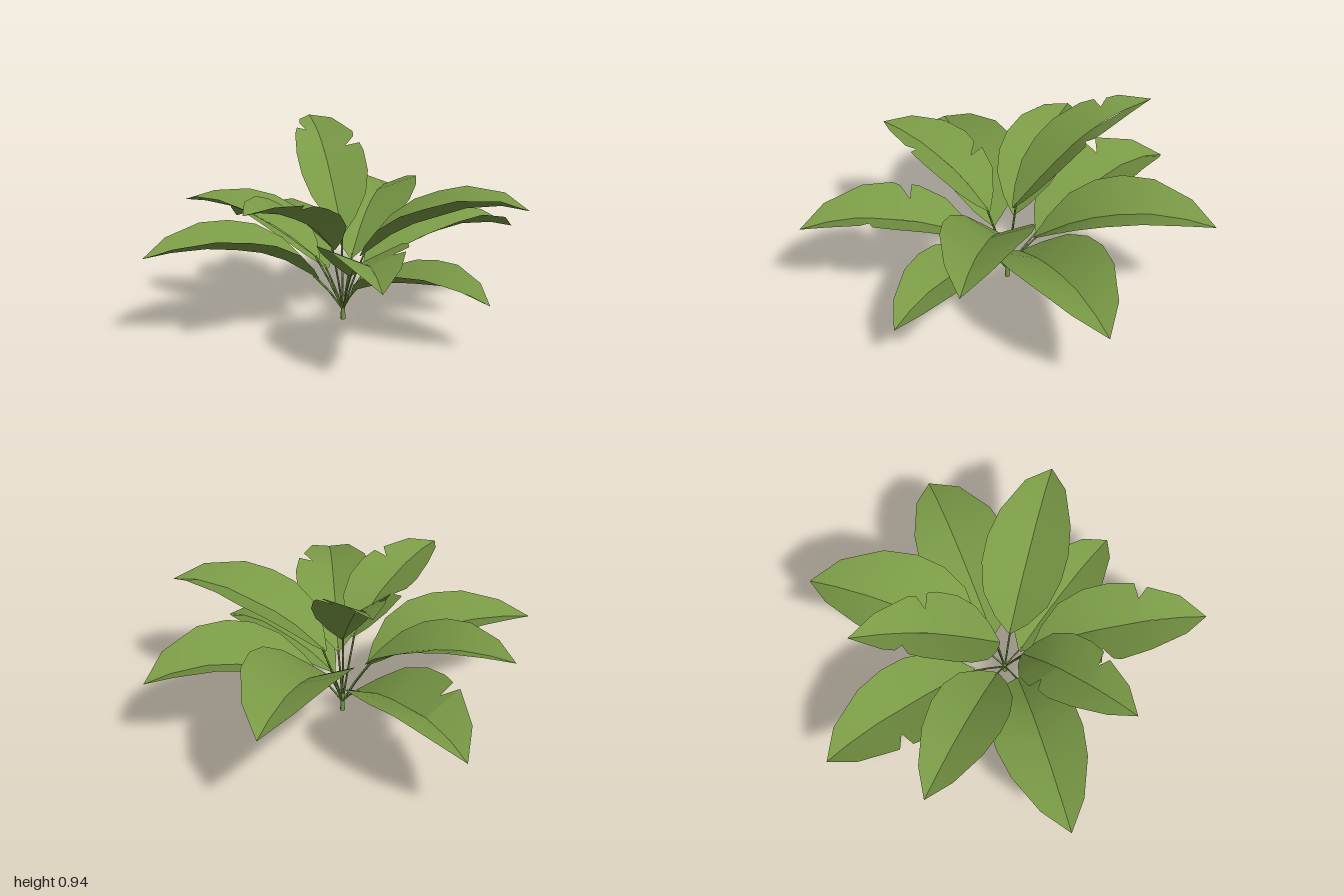
import * as THREE from 'three';

const green = new THREE.MeshStandardMaterial({ color: 0x7a9a46, side: THREE.DoubleSide });
green.name = 'leafGreen';

const CROWN = new THREE.Vector3(0.005, 0.05, -0.015);
const LIFT = 0.42; // how far the blade edges rise above the midrib

// Half-blade outline: [fraction along the midrib, fraction of the half width]
const OUTLINE = [[0, 0.04], [0.09, 0.42], [0.22, 0.8], [0.36, 0.98], [0.5, 1], [0.66, 0.87], [0.85, 0.5], [1, 0]];

// base and tip are [x, z]; y holds midrib heights from base to tip;
// w holds the two half widths; n holds the positions of tears on each side
const LEAVES = [
  { base: [0.12, -0.05], tip: [0.98, -0.18], y: [0.24, 0.34, 0.40, 0.425, 0.38], w: [0.22, 0.25] },
  { base: [-0.13, 0.02], tip: [-0.98, 0.06], y: [0.23, 0.36, 0.41, 0.425, 0.40], w: [0.20, 0.23] },
  { base: [0.08, -0.13], tip: [0.53, -0.88], y: [0.28, 0.42, 0.50, 0.53, 0.50], w: [0.21, 0.25] },
  { base: [-0.03, -0.18], tip: [-0.35, -0.99], y: [0.22, 0.32, 0.37, 0.40, 0.34], w: [0.22, 0.20], n: [0.6] },
  { base: [-0.1, -0.08], tip: [-0.69, -0.57], y: [0.30, 0.42, 0.50, 0.54, 0.54], w: [0.18, 0.18] },
  { base: [-0.06, 0.06], tip: [-0.58, 0.47], y: [0.38, 0.52, 0.60, 0.655, 0.67], w: [0.17, 0.18], n: [0.62, 0.36] },
  { base: [0, 0.13], tip: [-0.11, 0.99], y: [0.26, 0.38, 0.44, 0.47, 0.43], w: [0.20, 0.20], n: [0.64, 0.41] },
  { base: [0.08, 0.03], tip: [0.79, 0.43], y: [0.33, 0.48, 0.56, 0.62, 0.60], w: [0.21, 0.20] },
  { base: [0.03, 0.07], tip: [0.5, 0.67], y: [0.17, 0.24, 0.27, 0.28, 0.23], w: [0.18, 0.17] },
  { base: [0.01, -0.04], tip: [0.015, -0.73], y: [0.43, 0.62, 0.78, 0.88, 0.935], w: [0.17, 0.18], n: [0.74, 0.57] },
];

function widthAt(t) {
  const i = Math.max(1, OUTLINE.findIndex(([u]) => u >= t));
  const [a, wa] = OUTLINE[i - 1], [b, wb] = OUTLINE[i];
  return wa + (wb - wa) * (t - a) / (b - a);
}

// Outline with a narrow wedge cut in at tear position t
function tornOutline(t) {
  if (t === undefined) return OUTLINE;
  const a = t - 0.01, b = t + 0.05;
  return [
    ...OUTLINE.filter(([u]) => u < a),
    [a, widthAt(a)], [t, widthAt(t) * 0.6], [b, widthAt(b) * 0.94],
    ...OUTLINE.filter(([u]) => u > b),
  ];
}

// One half of a blade: a strip from the midrib out to the raised edge
function halfBlade(rib, side, width, sign, tear) {
  const pos = [], idx = [];
  tornOutline(tear).forEach(([t, w], i) => {
    const p = rib.getPointAt(t);
    const up = side.clone().cross(rib.getTangentAt(t)).normalize();
    if (up.y < 0) up.negate();
    const edge = p.clone().addScaledVector(side, sign * w * width).addScaledVector(up, LIFT * w * width);
    pos.push(p.x, p.y, p.z, edge.x, edge.y, edge.z);
    if (i > 0) {
      const a = 2 * i - 2, b = a + 1, c = a + 2, d = a + 3;
      if (sign > 0) idx.push(a, c, b, b, c, d);
      else idx.push(a, b, c, b, d, c);
    }
  });
  const g = new THREE.BufferGeometry();
  g.setAttribute('position', new THREE.Float32BufferAttribute(pos, 3));
  g.setIndex(idx);
  g.computeVertexNormals();
  return g;
}

function addMesh(parent, name, geometry) {
  const m = new THREE.Mesh(geometry, green);
  m.name = name;
  parent.add(m);
  return m;
}

function makeLeaf({ base, tip, y, w, n = [] }) {
  const leaf = new THREE.Group();
  leaf.name = 'leaf';
  const rib = new THREE.CatmullRomCurve3(y.map((h, i) => {
    const f = i / (y.length - 1);
    return new THREE.Vector3(base[0] + (tip[0] - base[0]) * f, h, base[1] + (tip[1] - base[1]) * f);
  }));
  const side = new THREE.Vector3(tip[1] - base[1], 0, base[0] - tip[0]).normalize();
  addMesh(leaf, 'bladeHalfA', halfBlade(rib, side, w[0], 1, n[0]));
  addMesh(leaf, 'bladeHalfB', halfBlade(rib, side, w[1], -1, n[1]));

  // Thin stalk from the crown up to the blade
  const end = rib.getPointAt(0.03);
  const mid = CROWN.clone().lerp(end, 0.5);
  mid.y += 0.012;
  const stalk = new THREE.CatmullRomCurve3([CROWN, mid, end]);
  addMesh(leaf, 'stalk', new THREE.TubeGeometry(stalk, 4, 0.005, 4, false));
  return leaf;
}

export function createModel() {
  const plant = new THREE.Group();
  plant.name = 'leafyPlant';

  // Short central stem
  const stem = addMesh(plant, 'stem', new THREE.CylinderGeometry(0.008, 0.013, 0.12, 6));
  stem.position.set(CROWN.x, 0.06, CROWN.z);

  // Ring of arching leaves
  for (const spec of LEAVES) plant.add(makeLeaf(spec));
  return plant;
}
